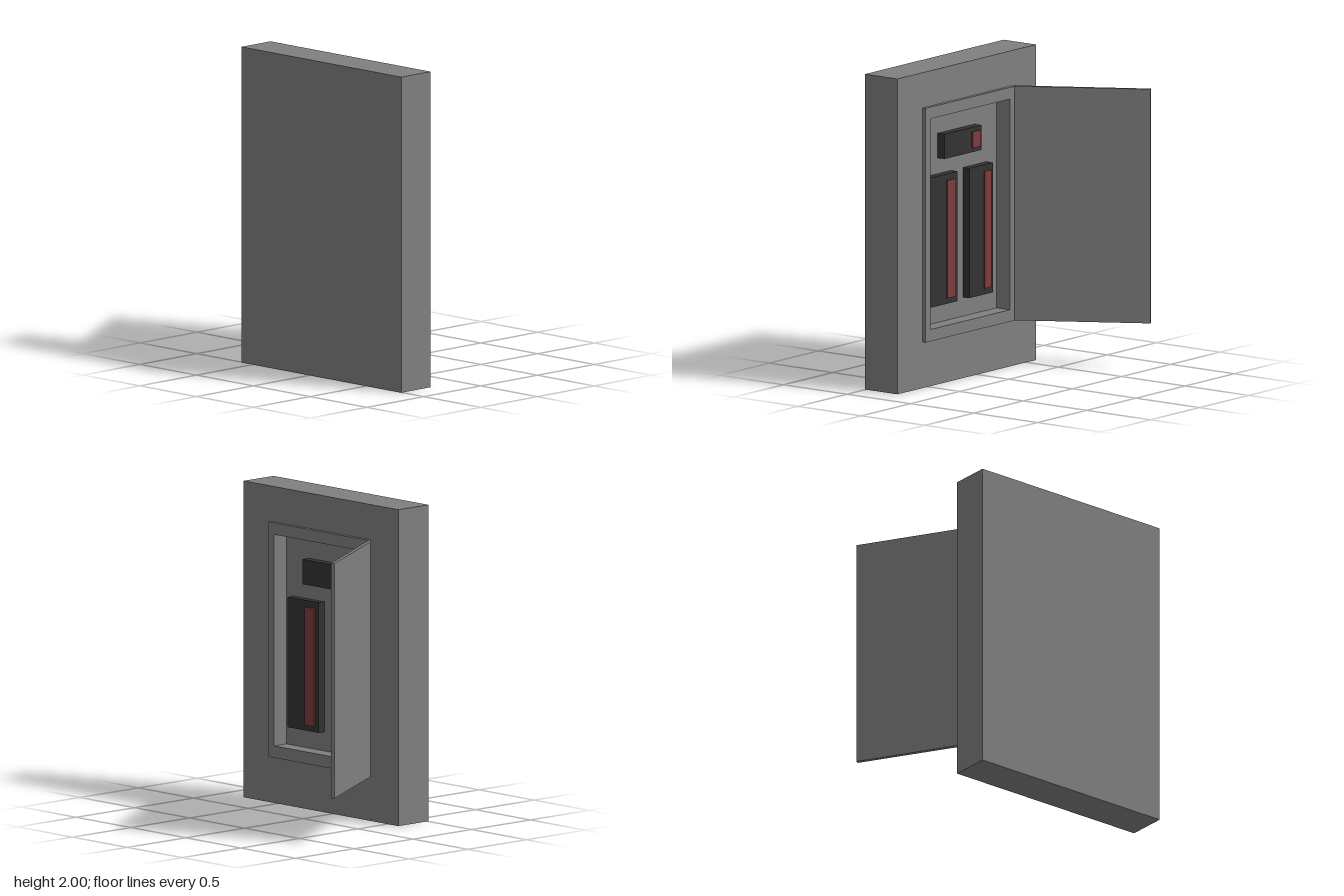
import * as THREE from 'three';

const grey = new THREE.MeshStandardMaterial({ color: 0x808080 });
const dark = new THREE.MeshStandardMaterial({ color: 0x333333 });
const red = new THREE.MeshStandardMaterial({ color: 0x7c3c40 });

// Rectangle given by z and y limits, drawn in a plane whose x axis is -z
function rect(Type, z0, z1, y0, y1) {
  return new Type([[-z1, y0], [-z0, y0], [-z0, y1], [-z1, y1]].map(([x, y]) => new THREE.Vector2(x, y)));
}

// Slab facing +x between x0 and x1, with an optional opening
function slab(name, material, [z0, z1, y0, y1], x0, x1, opening) {
  const shape = rect(THREE.Shape, z0, z1, y0, y1);
  if (opening) shape.holes.push(rect(THREE.Path, ...opening));
  const geometry = new THREE.ExtrudeGeometry(shape, { depth: x1 - x0, bevelEnabled: false });
  geometry.rotateY(Math.PI / 2).translate(x0, 0, 0);
  const mesh = new THREE.Mesh(geometry, material);
  mesh.name = name;
  return mesh;
}

export function createModel() {
  const group = new THREE.Group();
  group.name = 'fuseBox';

  // Wall with a recess, and the raised frame around it
  const wall = [-0.6, 0.81, 0, 2];
  const opening = [-0.3, 0.505, 0.367, 1.703];
  group.add(
    slab('wallBack', grey, wall, -0.506, -0.33),
    slab('wallFront', grey, wall, -0.33, -0.25, opening),
    slab('frame', grey, [-0.348, 0.555, 0.292, 1.777], -0.25, -0.225, opening)
  );

  // Dark switch housings, each with a red strip
  const switches = [
    ['mainSwitch', [-0.078, 0.3, 1.41, 1.567], [-0.058, 0.025, 1.437, 1.54], -0.275],
    ['leftBreaker', [0.16, 0.44, 0.487, 1.31], [0.19, 0.275, 0.523, 1.27], -0.28],
    ['rightBreaker', [-0.2, 0.04, 0.487, 1.31], [-0.17, -0.107, 0.527, 1.27], -0.28],
  ];
  for (const [name, body, strip, face] of switches) {
    const unit = new THREE.Group();
    unit.name = name;
    unit.add(slab('housing', dark, body, -0.33, face), slab('redStrip', red, strip, face, face + 0.01));
    group.add(unit);
  }

  // Open door, bent at the back where it meets the frame; profile in x and -z
  const profile = [
    [-0.25, 0.348], [-0.225, 0.354], [0.502, 0.79], [0.492, 0.81], [-0.19, 0.405], [-0.21, 0.39],
  ].map(([x, y]) => new THREE.Vector2(x, y));
  const doorGeometry = new THREE.ExtrudeGeometry(new THREE.Shape(profile), { depth: 1.485, bevelEnabled: false });
  doorGeometry.rotateX(-Math.PI / 2).translate(0, 0.292, 0);
  const door = new THREE.Mesh(doorGeometry, grey);
  door.name = 'door';
  group.add(door);

  return group;
}
